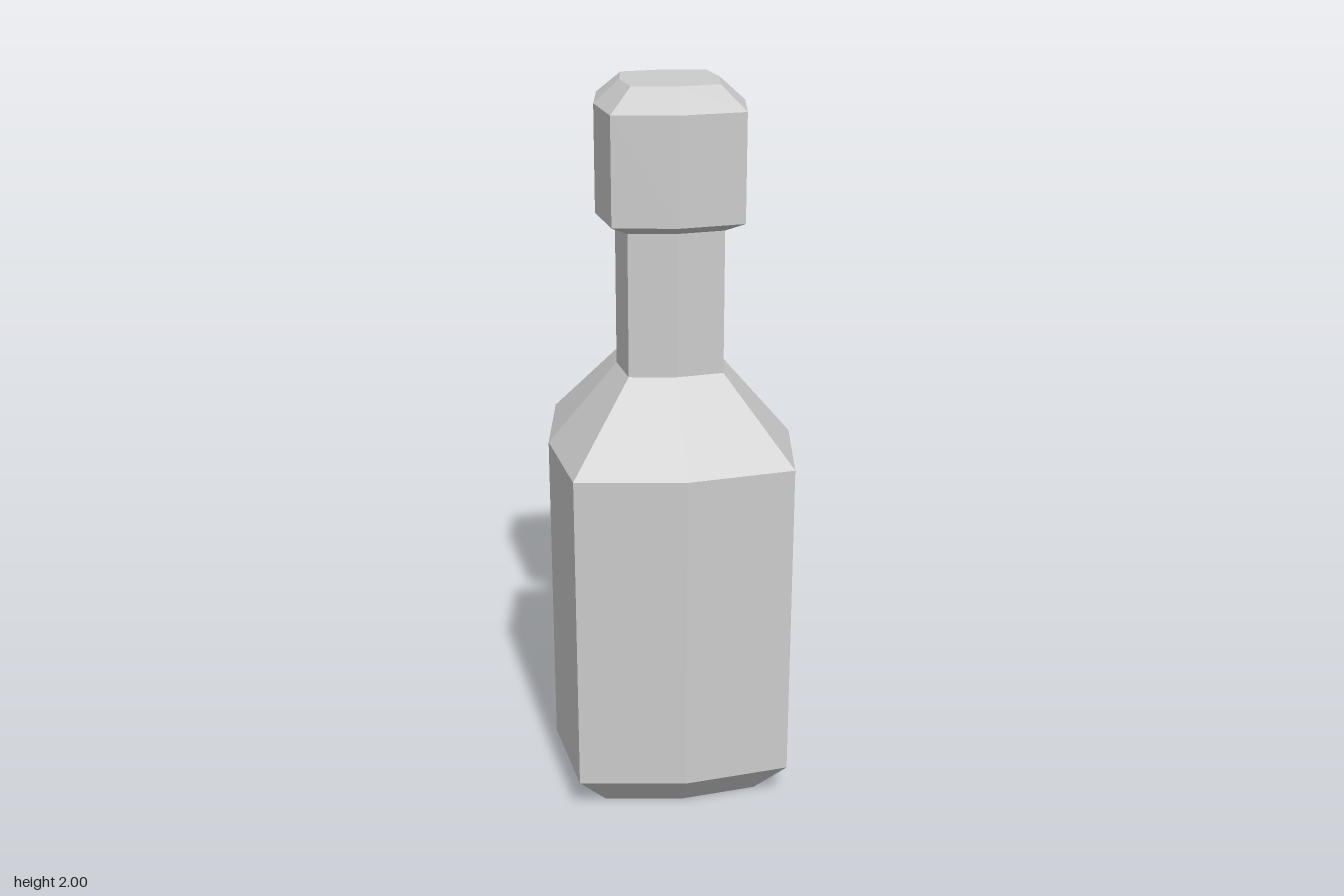
import * as THREE from 'three';

const material = new THREE.MeshStandardMaterial({ color: 0xcccccc, flatShading: true });

// Eight-sided lathe whose diagonal corners are pushed out into a bulging square.
// Profile entries are [half-width at the side middle, height], bottom to top.
function bulgedSquare(name, profile) {
  const geometry = new THREE.LatheGeometry(profile.map(([r, y]) => new THREE.Vector2(r, y)), 8);
  const position = geometry.attributes.position;
  for (let i = 0; i < position.count; i++) {
    const x = position.getX(i), z = position.getZ(i);
    if (Math.min(Math.abs(x), Math.abs(z)) > 0.01) {
      position.setX(i, x * 1.237);
      position.setZ(i, z * 1.237);
    }
  }
  const flat = geometry.toNonIndexed();
  flat.computeVertexNormals();
  const mesh = new THREE.Mesh(flat, material);
  mesh.name = name;
  return mesh;
}

export function createModel() {
  const group = new THREE.Group();
  group.name = 'bottle';

  // Chamfered base, straight walls, sloping shoulder and slim neck
  group.add(bulgedSquare('bodyAndNeck', [
    [0, 0], [0.245, 0], [0.335, 0.108], [0.335, 1.017], [0.145, 1.24], [0.145, 1.628],
  ]));

  // Stopper with bevelled top and underside
  group.add(bulgedSquare('stopper', [
    [0.145, 1.628], [0.197, 1.655], [0.197, 1.94], [0.13, 2], [0, 2],
  ]));

  return group;
}
